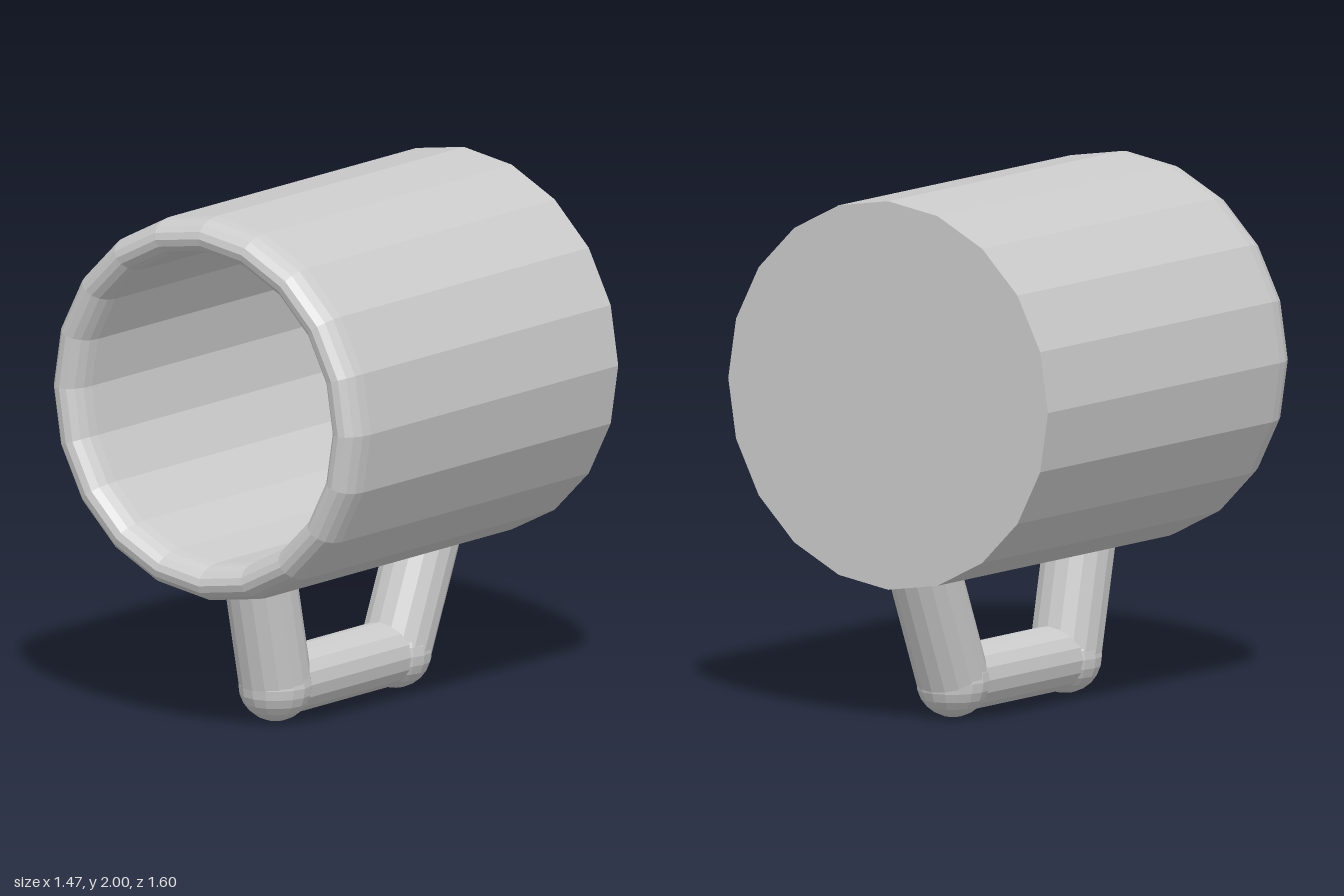
import * as THREE from 'three';

const material = new THREE.MeshStandardMaterial({ color: 0xcccccc, flatShading: true });

function part(name, geometry) {
  const mesh = new THREE.Mesh(geometry, material);
  mesh.name = name;
  return mesh;
}

// Cylinder running between two points
function rod(name, from, to, radius) {
  const axis = to.clone().sub(from);
  const mesh = part(name, new THREE.CylinderGeometry(radius, radius, axis.length(), 16));
  mesh.position.copy(from).add(to).multiplyScalar(0.5);
  mesh.quaternion.setFromUnitVectors(new THREE.Vector3(0, 1, 0), axis.normalize());
  return mesh;
}

// Twenty-sided cup: closed base, outer wall, rounded rim, inner wall and floor
function createCup() {
  const outer = 0.735, inner = 0.595, base = -0.8, floor = -0.66;
  const rimZ = 0.69, rimDepth = 0.11, rimSteps = 8;
  const mid = (outer + inner) / 2, half = (outer - inner) / 2;
  const profile = [new THREE.Vector2(0, base), new THREE.Vector2(outer, base)];
  for (let i = 0; i <= rimSteps; i++) {
    const a = (i / rimSteps) * Math.PI;
    profile.push(new THREE.Vector2(mid + half * Math.cos(a), rimZ + rimDepth * Math.sin(a)));
  }
  profile.push(new THREE.Vector2(inner, floor), new THREE.Vector2(0, floor));
  const cup = part('cup', new THREE.LatheGeometry(profile, 20).rotateX(Math.PI / 2));
  cup.position.y = 1.265;
  return cup;
}

// Handle: two slanted posts, a grip and ball joints at the corners
function createHandle() {
  const handle = new THREE.Group();
  handle.name = 'handle';
  const x = -0.012;
  const frontJoint = new THREE.Vector3(x, 0.14, 0.32);
  const backJoint = new THREE.Vector3(x, 0.14, -0.4);
  handle.add(
    rod('frontPost', frontJoint, new THREE.Vector3(x, 0.6, 0.42), 0.137),
    rod('backPost', backJoint, new THREE.Vector3(x, 0.6, -0.595), 0.137),
    rod('grip', backJoint, frontJoint, 0.125),
  );
  for (const [name, position] of [['frontJoint', frontJoint], ['backJoint', backJoint]]) {
    const joint = part(name, new THREE.SphereGeometry(0.14, 16, 12));
    joint.position.copy(position);
    handle.add(joint);
  }
  return handle;
}

export function createModel() {
  const mug = new THREE.Group();
  mug.name = 'mug';
  mug.add(createCup(), createHandle());
  return mug;
}
